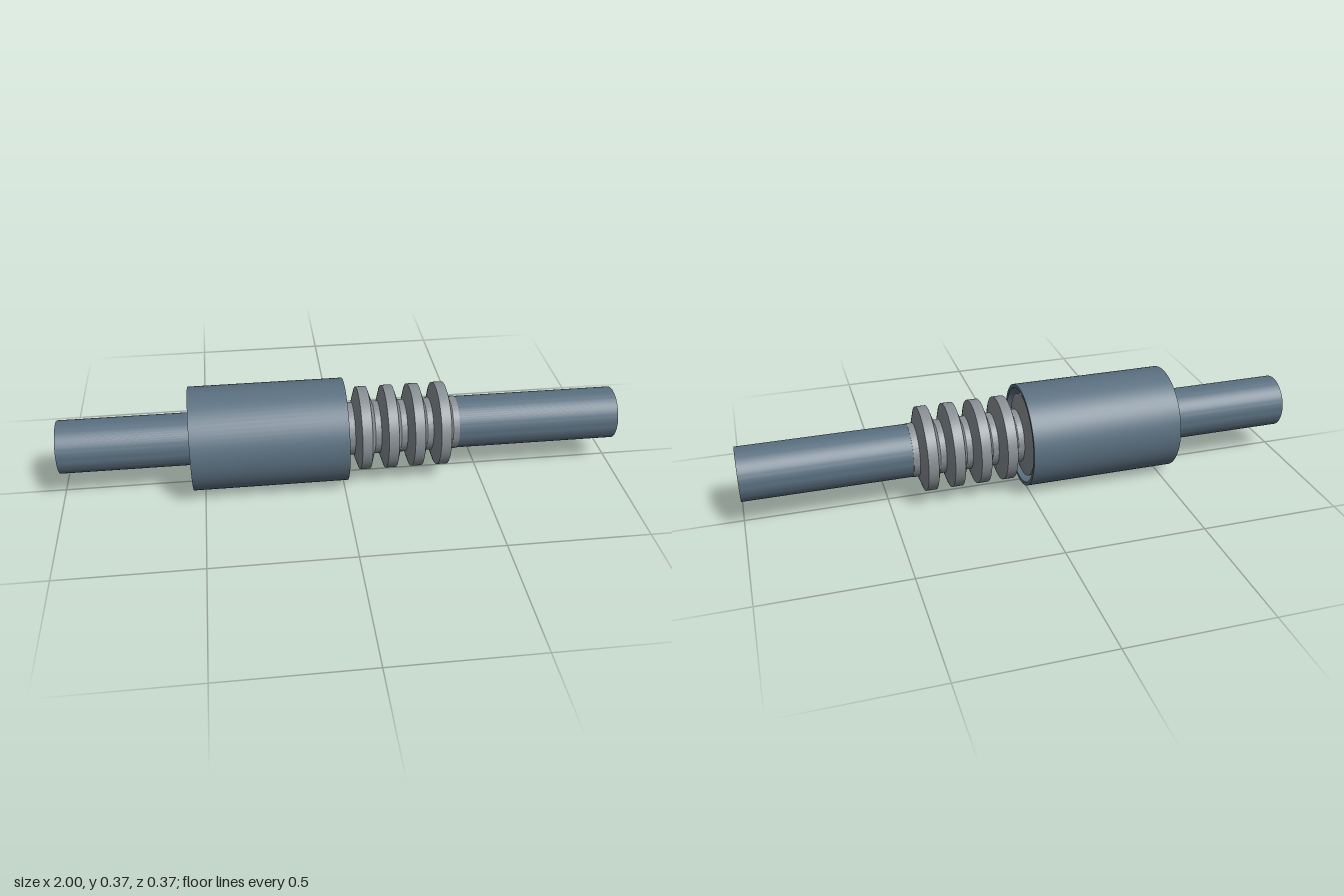
import * as THREE from 'three';
import { toCreasedNormals } from 'three/addons/utils/BufferGeometryUtils.js';

const AXIS_Y = 0.186;

// Revolves a list of [radius, x] points about the long axis
function turned(name, profile, color) {
  const points = profile.map(([r, x]) => new THREE.Vector2(r, x));
  const geometry = toCreasedNormals(new THREE.LatheGeometry(points, 72), 0.4);
  geometry.rotateZ(-Math.PI / 2);
  const mesh = new THREE.Mesh(geometry, new THREE.MeshStandardMaterial({ color }));
  mesh.name = name;
  mesh.position.y = AXIS_Y;
  return mesh;
}

export function createModel() {
  const group = new THREE.Group();
  group.name = 'ribbedTubeCoupling';
  const blue = 0x5b7080, grey = 0x8a9196;

  // Hollow pipe running the full length
  group.add(turned('pipe', [
    [0.046, -1], [0.094, -1], [0.094, 1], [0.046, 1], [0.046, -1],
  ], blue));

  // Cup-shaped sleeve, closed around the pipe at its left end, open at its right
  group.add(turned('sleeve', [
    [0.09, -0.54], [0.185, -0.54], [0.185, 0.01],
    [0.172, 0.01], [0.172, -0.5], [0.09, -0.5],
  ], blue));

  // Ribbed core: evenly spaced tapered rings, carried on inside the sleeve
  const core = 0.0955, tip = 0.15, pitch = 0.0935;
  const ribs = [[0.09, -0.5], [core, -0.5]];
  for (let i = -5; i <= 3; i++) {
    const x = 0.076 + i * pitch;
    ribs.push([core, x - 0.036], [tip, x - 0.018], [tip, x + 0.018], [core, x + 0.036]);
  }
  ribs.push([core, 0.415], [0.09, 0.415]);
  group.add(turned('ribbedCore', ribs, grey));

  return group;
}
